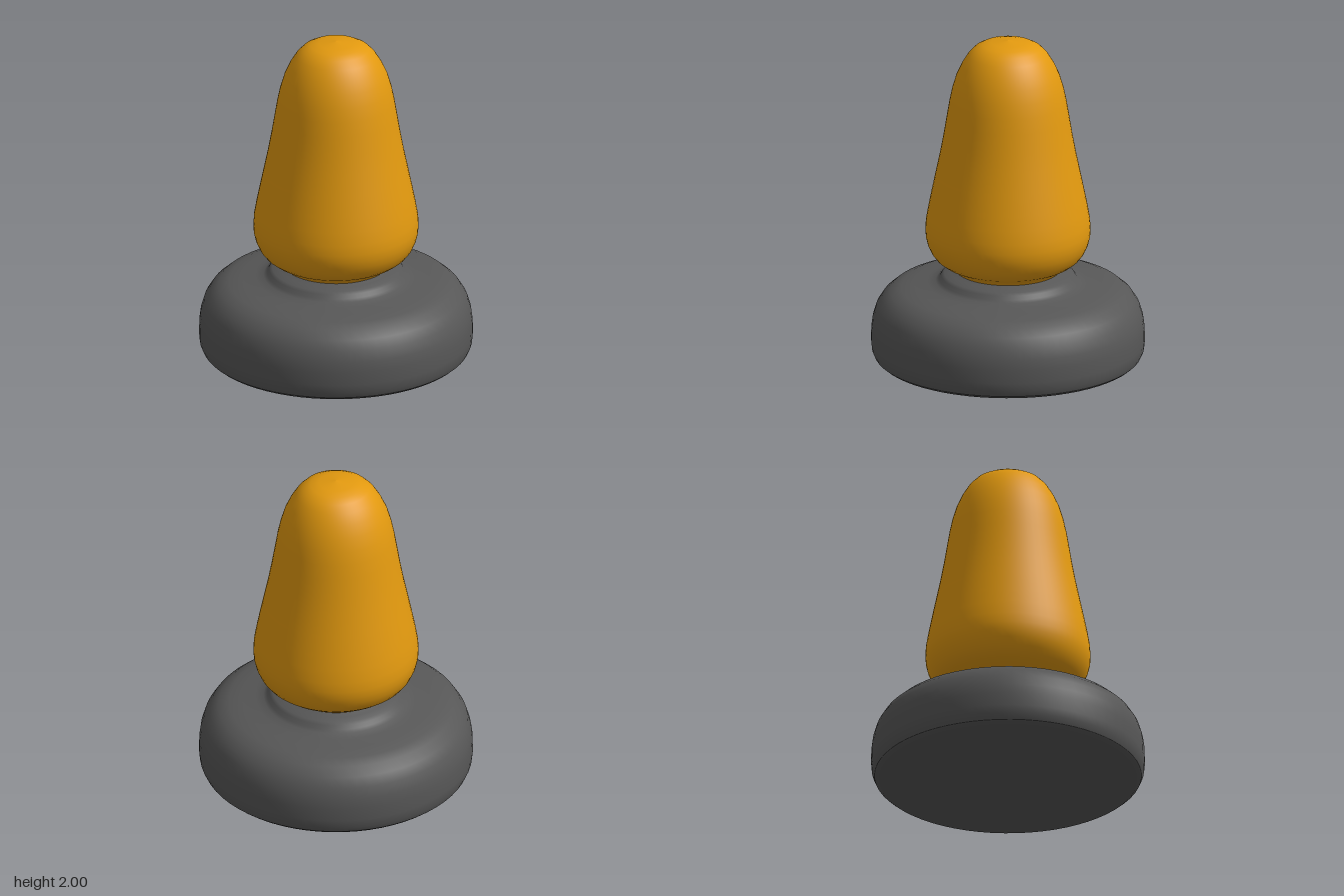
import * as THREE from 'three';

const SEGMENTS = 64;

// Revolve a bottom-to-top list of [radius, height] around the y axis
function turned(name, profile, material) {
  const points = profile.map(([r, y]) => new THREE.Vector2(r, y));
  const mesh = new THREE.Mesh(new THREE.LatheGeometry(points, SEGMENTS), material);
  mesh.name = name;
  return mesh;
}

export function createModel() {
  const darkGrey = new THREE.MeshStandardMaterial({ color: 0x575757 });
  darkGrey.name = 'darkGrey';
  const amber = new THREE.MeshStandardMaterial({ color: 0xe2990f });
  amber.name = 'amber';

  const group = new THREE.Group();
  group.name = 'beacon';

  // Slightly bulging underside, separate so its rim stays crisp
  group.add(turned('baseUnderside', [
    [0, 0], [0.3, 0.005], [0.55, 0.013], [0.7, 0.025], [0.765, 0.038], [0.785, 0.055],
  ], darkGrey));

  // Wide rounded base with a stepped collar
  group.add(turned('base', [
    [0.785, 0.055], [0.8, 0.09], [0.805, 0.14], [0.803, 0.22], [0.795, 0.28],
    [0.775, 0.345], [0.74, 0.4], [0.69, 0.443], [0.63, 0.468], [0.55, 0.483],
    [0.47, 0.495], [0.425, 0.508], [0.405, 0.522], [0.392, 0.543], [0.375, 0.557],
    [0.34, 0.567], [0.315, 0.577], [0.3, 0.582], [0, 0.584],
  ], darkGrey));

  // Tapered dome: narrow neck, full belly, slim rounded top
  group.add(turned('dome', [
    [0.31, 0.58], [0.32, 0.595], [0.345, 0.61], [0.39, 0.633], [0.425, 0.66],
    [0.452, 0.695], [0.472, 0.74], [0.483, 0.785], [0.486, 0.83], [0.482, 0.89],
    [0.468, 0.97], [0.45, 1.06], [0.425, 1.18], [0.4, 1.3], [0.378, 1.42],
    [0.36, 1.53], [0.345, 1.62], [0.328, 1.7], [0.304, 1.78], [0.272, 1.85],
    [0.235, 1.91], [0.195, 1.951], [0.15, 1.975], [0.1, 1.987], [0.04, 1.994], [0, 2],
  ], amber));

  return group;
}
